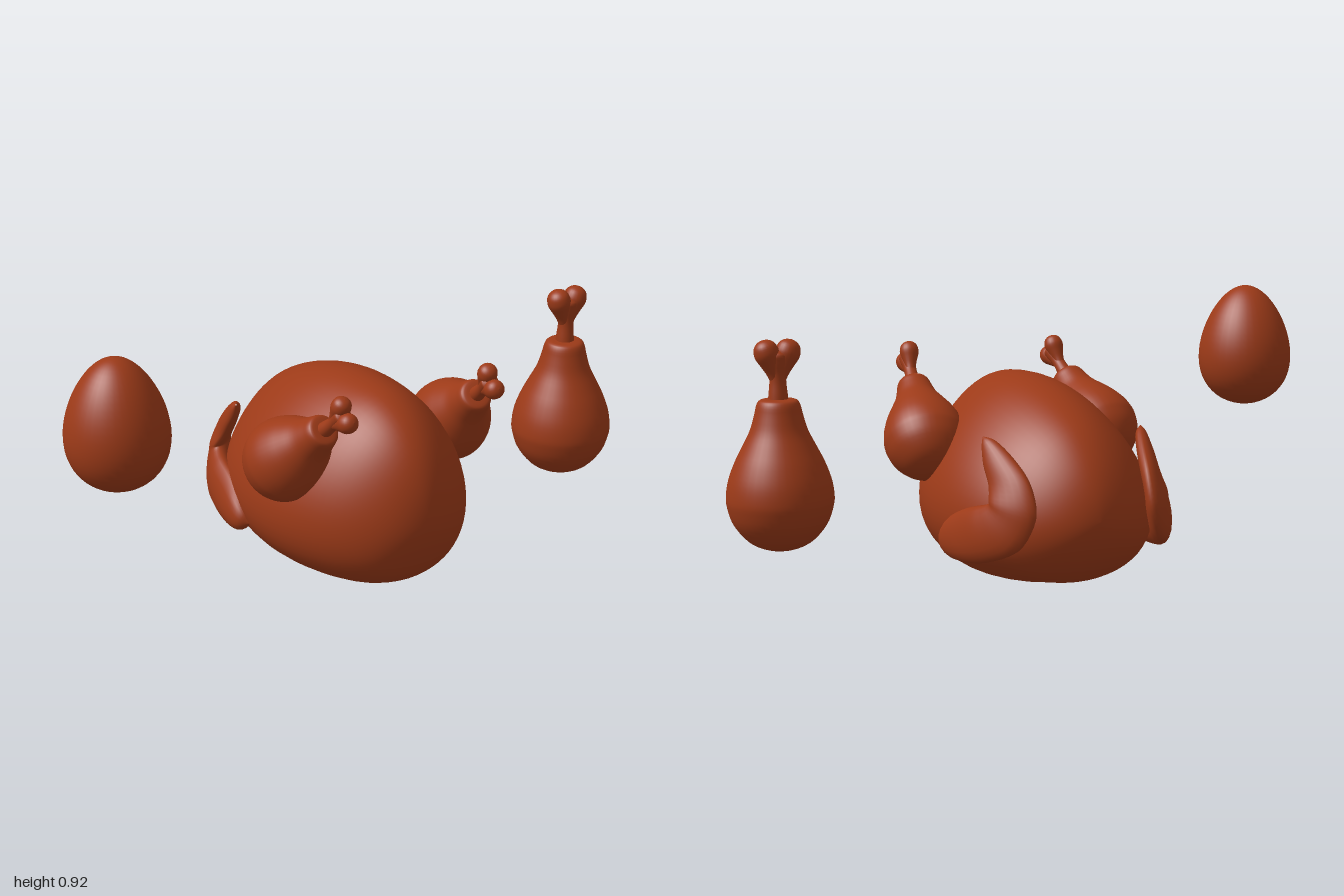
import * as THREE from 'three';

const material = new THREE.MeshStandardMaterial({ color: 0x9c3a18, roughness: 0.8 });

function mesh(geometry, name) {
  const m = new THREE.Mesh(geometry, material);
  m.name = name;
  return m;
}

// Closed skin over rings: fn(u, angle) returns a point, u runs 0..1 along the form
function loft(fn, nu, nv) {
  const pos = [], index = [];
  for (let i = 0; i <= nu; i++) {
    for (let j = 0; j < nv; j++) {
      pos.push(...fn(i / nu, (j / nv) * Math.PI * 2));
      if (i === nu) continue;
      const a = i * nv + j, b = i * nv + ((j + 1) % nv);
      index.push(a, b, a + nv, b, b + nv, a + nv);
    }
  }
  const g = new THREE.BufferGeometry();
  g.setAttribute('position', new THREE.Float32BufferAttribute(pos, 3));
  g.setIndex(index);
  g.computeVertexNormals();
  return g;
}

const spline = (points) => new THREE.CatmullRomCurve3(
  points.map((p) => new THREE.Vector3(...p)), false, 'catmullrom');

function smoothLathe(points, divisions, sides = 40) {
  const curve = new THREE.SplineCurve(points.map((p) => new THREE.Vector2(...p)));
  const profile = curve.getPoints(divisions);
  profile.forEach((p) => { p.x = Math.max(p.x, 0); });
  return new THREE.LatheGeometry(profile, sides);
}

// Body: pear-shaped sections between a top line and a bottom line, front to back
function makeBody() {
  const top = [0.3, 0.42, 0.525, 0.603, 0.65, 0.664, 0.66, 0.634, 0.59, 0.53, 0.45, 0.36, 0.27];
  const bottom = [0.3, 0.2, 0.1, 0.046, 0.018, 0.004, 0, 0.012, 0.034, 0.058, 0.115, 0.19, 0.27];
  const line = spline(top.map((t, i) => [t, bottom[i], 0]));
  return mesh(loft((u, a) => {
    const p = line.getPoint(u), c = Math.cos(a);
    const width = 0.35 * Math.sin(u * Math.PI);
    return [
      0.015 + width * Math.sin(a) * (0.97 - 0.26 * c),
      (p.x + p.y) / 2 + ((p.x - p.y) / 2) * c,
      0.485 * Math.cos(u * Math.PI),
    ];
  }, 48, 56), 'body');
}

// Wing: flat oval sections spanning its outer and inner edges, bent at the elbow
function makeWing() {
  const outer = spline([
    [0.287, 0.513, -0.221], [0.27, 0.505, -0.26], [0.245, 0.46, -0.33], [0.225, 0.4, -0.4],
    [0.22, 0.325, -0.44], [0.23, 0.26, -0.443], [0.265, 0.185, -0.41], [0.31, 0.145, -0.33],
    [0.335, 0.125, -0.24], [0.35, 0.12, -0.14], [0.352, 0.135, -0.08], [0.345, 0.168, -0.045],
  ]);
  const inner = spline([
    [0.287, 0.508, -0.22], [0.285, 0.475, -0.227], [0.29, 0.43, -0.25], [0.29, 0.375, -0.288],
    [0.3, 0.335, -0.315], [0.3, 0.325, -0.315], [0.31, 0.315, -0.29], [0.32, 0.305, -0.25],
    [0.33, 0.285, -0.18], [0.345, 0.25, -0.11], [0.348, 0.21, -0.065], [0.345, 0.172, -0.045],
  ]);
  const thickness = spline([0.002, 0.02, 0.03, 0.035, 0.04, 0.042, 0.045, 0.045, 0.043, 0.038, 0.028, 0.002]
    .map((t) => [t, 0, 0]));
  return mesh(loft((u, a) => {
    const o = outer.getPoint(u), i = inner.getPoint(u);
    const p = i.clone().lerp(o, (1 + Math.cos(a)) / 2);
    p.x += Math.max(thickness.getPoint(u).x, 0) * Math.sin(a);
    return p.toArray();
  }, 44, 20), 'wing');
}

// Drumstick: origin at the thickest part of the meat, bone pointing up y
function makeDrumstick(name) {
  const g = new THREE.Group();
  g.name = name;
  g.add(mesh(smoothLathe([
    [0, -0.17], [0.055, -0.161], [0.105, -0.134], [0.147, -0.082], [0.165, -0.03], [0.168, 0.005],
    [0.16, 0.055], [0.14, 0.11], [0.115, 0.16], [0.09, 0.21], [0.075, 0.26], [0.067, 0.292],
    [0.055, 0.306], [0.025, 0.309],
  ], 45), 'meat'));
  g.add(mesh(smoothLathe([[0.033, 0.28], [0.03, 0.32], [0.026, 0.36], [0.027, 0.39], [0.034, 0.425], [0.034, 0.45], [0, 0.468]], 24, 24), 'bone'));
  for (const side of [-1, 1]) {
    const knob = mesh(smoothLathe([
      [0.02, 0], [0.023, 0.03], [0.031, 0.06], [0.038, 0.083], [0.039, 0.1], [0.033, 0.12], [0.018, 0.133], [0, 0.137],
    ], 24, 24), 'boneKnob');
    knob.position.set(side * 0.002, 0.362, 0);
    knob.rotation.z = -side * 0.34;
    g.add(knob);
  }
  return g;
}

// Egg: narrower towards the top
function makeEgg() {
  const points = [];
  for (let i = 0; i <= 28; i++) {
    const t = (i / 28) * Math.PI;
    points.push(new THREE.Vector2(0.155 * Math.sin(t) * (1 + 0.2 * Math.cos(t)), 0.505 + 0.205 * (1 - Math.cos(t))));
  }
  const egg = mesh(new THREE.LatheGeometry(points, 40), 'egg');
  egg.position.set(-0.843, 0, 0.115);
  return egg;
}

export function createModel() {
  const model = new THREE.Group();
  model.name = 'roastBird';
  model.add(makeBody(), makeEgg());

  // Loose drumstick beside the bird
  const loose = makeDrumstick('looseDrumstick');
  loose.position.set(0.831, 0.31, 0.115);
  model.add(loose);

  // Legs and wings, mirrored left to right
  const axis = new THREE.Vector3(-0.12, 0.65, 0.74).normalize();
  const depth = new THREE.Vector3(0, 0.75, -0.66).cross(axis).normalize();
  const across = axis.clone().cross(depth);
  const tilt = new THREE.Matrix4().makeBasis(across, axis, depth);
  for (const side of [1, -1]) {
    const label = side > 0 ? 'left' : 'right';
    const leg = makeDrumstick('leg');
    leg.scale.setScalar(0.8);
    leg.quaternion.setFromRotationMatrix(tilt);
    leg.position.set(0.305, 0.455, 0.145);
    const legSide = new THREE.Group();
    legSide.name = label + 'Leg';
    legSide.add(leg);
    legSide.scale.x = side;
    legSide.position.set(0.028, 0, side > 0 ? 0 : -0.025);

    const wing = makeWing();
    wing.name = label + 'Wing';
    wing.scale.x = side;
    wing.position.x = side > 0 ? 0 : 0.03;
    model.add(legSide, wing);
  }
  return model;
}
